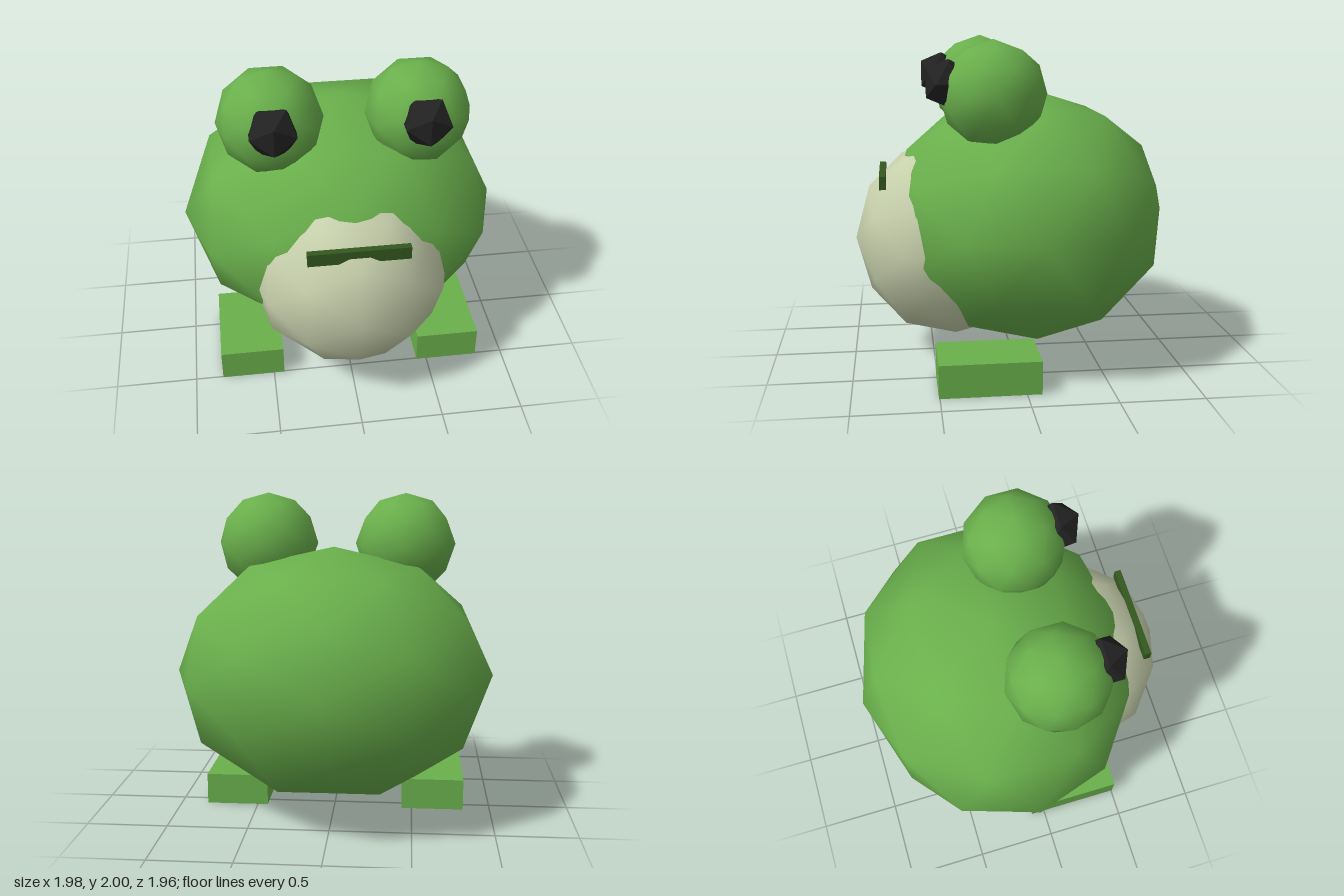
import * as THREE from 'three';

export function createModel() {
  const model = new THREE.Group();
  model.name = 'frog';

  const paint = (name, color) => {
    const material = new THREE.MeshStandardMaterial({ color });
    material.name = name;
    return material;
  };
  const green = paint('green skin', 0x6ab04c);
  const cream = paint('cream belly', 0xc7d0ac);
  const dark = paint('dark green mouth', 0x33581f);
  const black = paint('black pupil', 0x222222);

  const add = (name, geometry, material, x, y, z) => {
    const mesh = new THREE.Mesh(geometry, material);
    mesh.name = name;
    mesh.position.set(x, y, z);
    model.add(mesh);
  };

  // Coarse icosphere with smooth normals, stretched along each axis
  const blob = (rx, ry, rz) => new THREE.IcosahedronGeometry(1, 1).scale(rx, ry, rz);

  // Body and the belly that bulges out of its front
  add('body', blob(0.99, 0.79, 0.88), green, 0, 0.895, -0.1);
  add('belly', blob(0.62, 0.63, 0.6), cream, 0, 0.755, 0.375);

  // Mouth bar
  add('mouth', new THREE.BoxGeometry(0.59, 0.08, 0.04), dark, 0, 1.15, 0.8);

  // Mirrored eyes, faceted pupils and block feet
  for (const [side, s] of [['left', 1], ['right', -1]]) {
    add(side + 'Eye', blob(0.315, 0.315, 0.315), green, s * 0.435, 1.685, 0.15);
    add(side + 'Pupil', new THREE.IcosahedronGeometry(0.157, 0), black, s * 0.435, 1.75, 0.405);
    add(side + 'Foot', new THREE.BoxGeometry(0.394, 0.197, 0.593), green, s * 0.632, 0.0985, 0.209);
  }

  return model;
}
